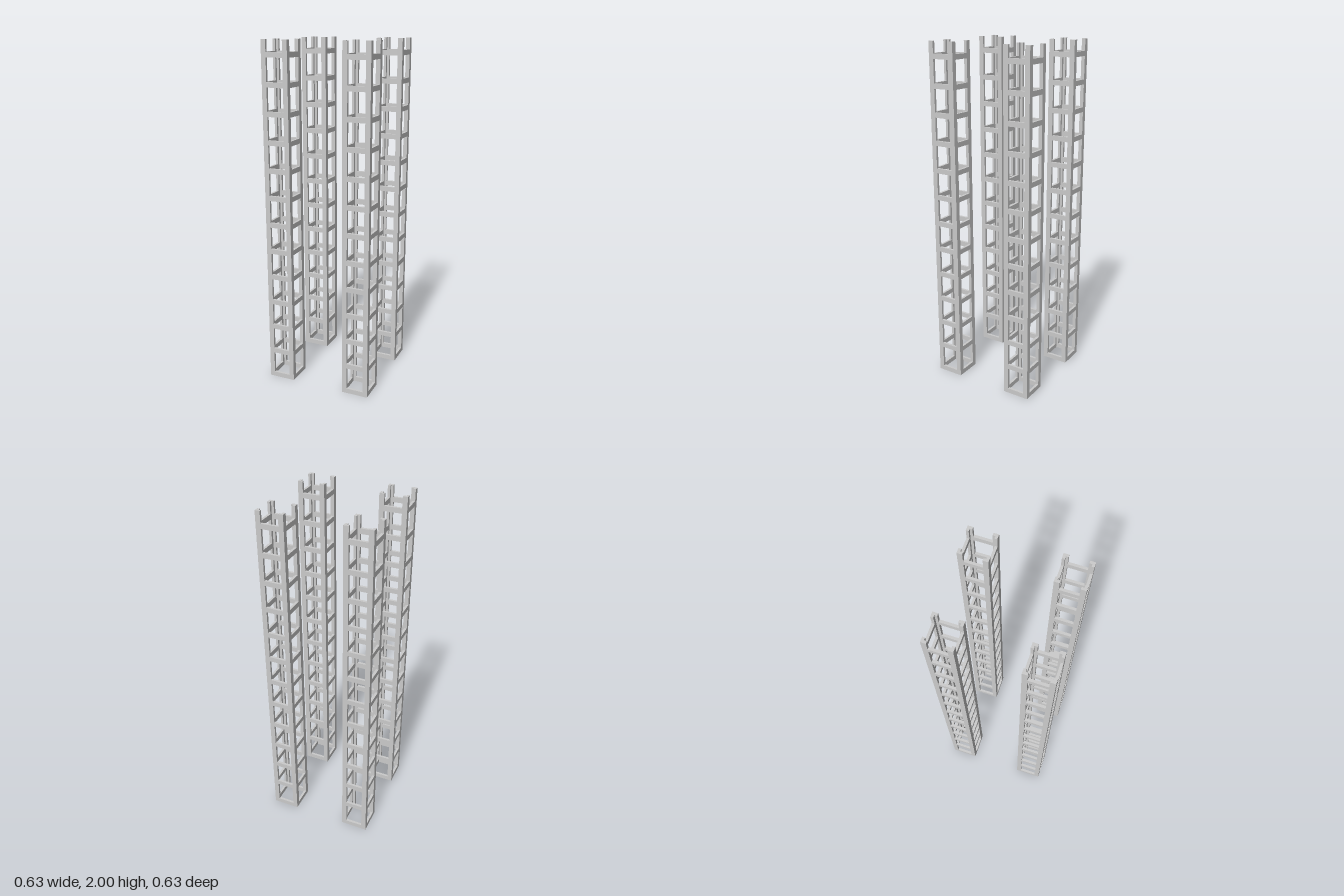
import * as THREE from 'three';

const HEIGHT = 2;
const HALF = 0.079;     // half the width of a tower
const CENTRE = 0.238;   // tower distance from the middle, in x and z
const LEG = 0.0285;     // flange width of the angle-section posts, height of the rails
const THICK = 0.0145;   // plate thickness
const PITCH = 0.1588;   // vertical spacing of the rails
const RAILS = 13;

const material = new THREE.MeshStandardMaterial({ color: 0xcccccc, flatShading: true });

// L-shaped corner post with its outer corner at (-HALF, -HALF)
function postGeometry() {
  const points = [[0, 0], [LEG, 0], [LEG, THICK], [THICK, THICK], [THICK, LEG], [0, LEG]];
  const shape = new THREE.Shape(points.map(([x, y]) => new THREE.Vector2(x - HALF, y - HALF)));
  const geometry = new THREE.ExtrudeGeometry(shape, { depth: HEIGHT, bevelEnabled: false });
  return geometry.rotateX(-Math.PI / 2);
}

// Flat rail fitted between two posts, flush with the outside face
function railGeometry() {
  const geometry = new THREE.BoxGeometry(2 * (HALF - LEG), LEG, THICK);
  return geometry.translate(0, LEG / 2, HALF - THICK / 2);
}

export function createModel() {
  const model = new THREE.Group();
  model.name = 'latticeTowers';
  const post = postGeometry();
  const rail = railGeometry();

  for (const sx of [-1, 1]) {
    for (const sz of [-1, 1]) {
      const tower = new THREE.Group();
      tower.name = `${sz > 0 ? 'front' : 'back'}${sx > 0 ? 'Left' : 'Right'}Tower`;
      tower.position.set(sx * CENTRE, 0, sz * CENTRE);

      // Four sides, each with one corner post and a ladder of rails
      for (let side = 0; side < 4; side++) {
        const face = new THREE.Group();
        face.name = `towerSide${side + 1}`;
        face.rotation.y = side * Math.PI / 2;

        const postMesh = new THREE.Mesh(post, material);
        postMesh.name = 'cornerPost';
        face.add(postMesh);

        for (let i = 0; i < RAILS; i++) {
          const railMesh = new THREE.Mesh(rail, material);
          railMesh.name = 'rail';
          railMesh.position.y = i * PITCH;
          face.add(railMesh);
        }
        tower.add(face);
      }
      model.add(tower);
    }
  }
  return model;
}
